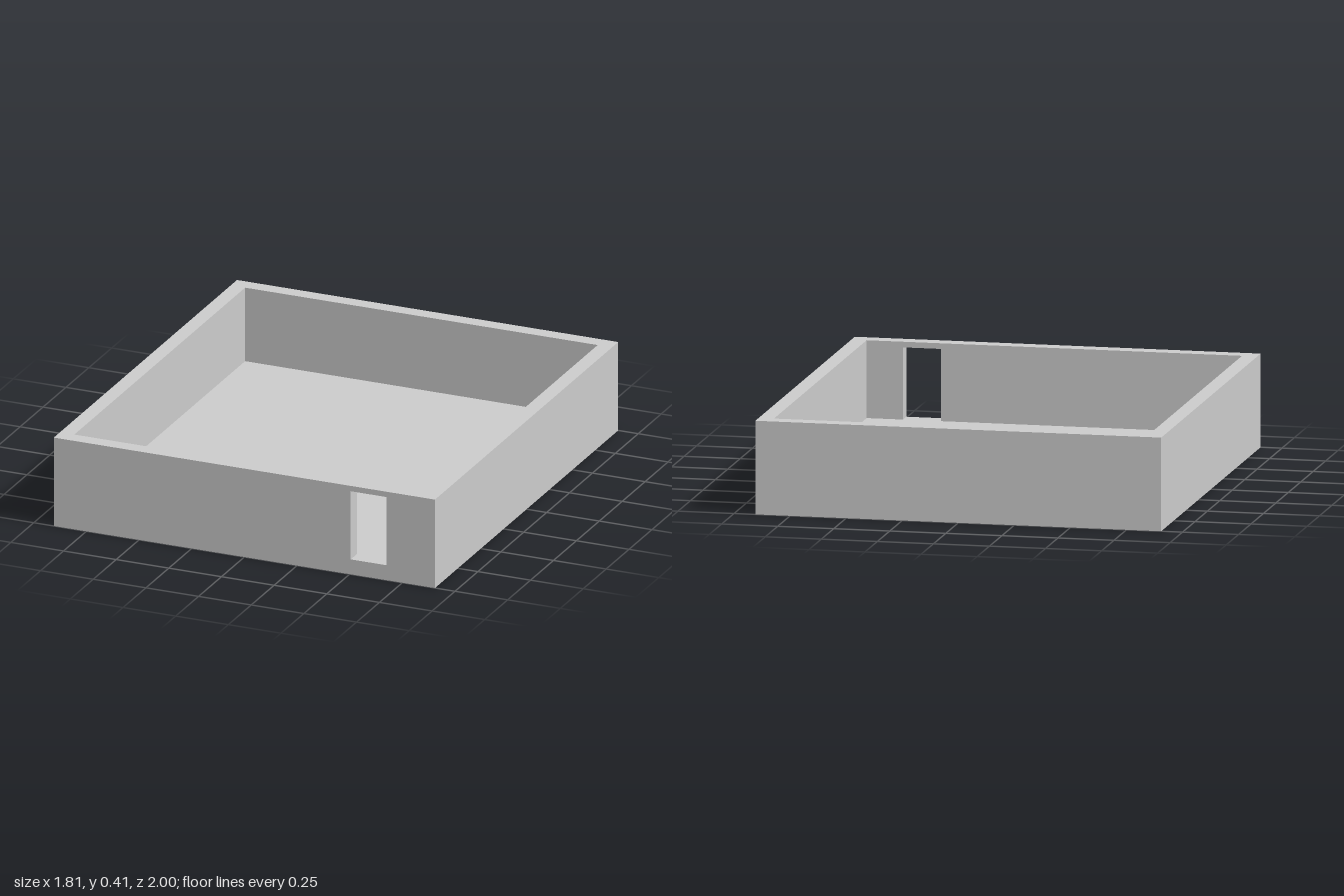
import * as THREE from 'three';

const W = 1.81, H = 0.415, D = 2;   // outer size
const T = 0.068;                    // wall thickness
const FLOOR = 0.07;                 // floor thickness

export function createModel() {
  const model = new THREE.Group();
  const material = new THREE.MeshStandardMaterial({ color: 0xcccccc, flatShading: true });

  const add = (name, geometry, x, y, z) => {
    const mesh = new THREE.Mesh(geometry, material);
    mesh.name = name;
    mesh.position.set(x, y, z);
    model.add(mesh);
  };

  // Floor slab, fitted between the walls
  add('floor', new THREE.BoxGeometry(W - 2 * T, FLOOR, D - 2 * T), 0, FLOOR / 2, 0);

  // Side walls, between the front and back walls
  for (const [name, side] of [['leftWall', 1], ['rightWall', -1]]) {
    add(name, new THREE.BoxGeometry(T, H, D - 2 * T), side * (W - T) / 2, H / 2, 0);
  }

  // Back wall
  add('backWall', new THREE.BoxGeometry(W, H, T), 0, H / 2, -(D - T) / 2);

  // Front wall with the doorway, its sill level with the floor
  const rectangle = (path, x0, y0, x1, y1) =>
    path.moveTo(x0, y0).lineTo(x1, y0).lineTo(x1, y1).lineTo(x0, y1).closePath();
  const front = rectangle(new THREE.Shape(), -W / 2, 0, W / 2, H);
  front.holes.push(rectangle(new THREE.Path(), 0.505, FLOOR, 0.675, 0.39));
  add('frontWall', new THREE.ExtrudeGeometry(front, { depth: T, bevelEnabled: false }), 0, 0, D / 2 - T);

  return model;
}
